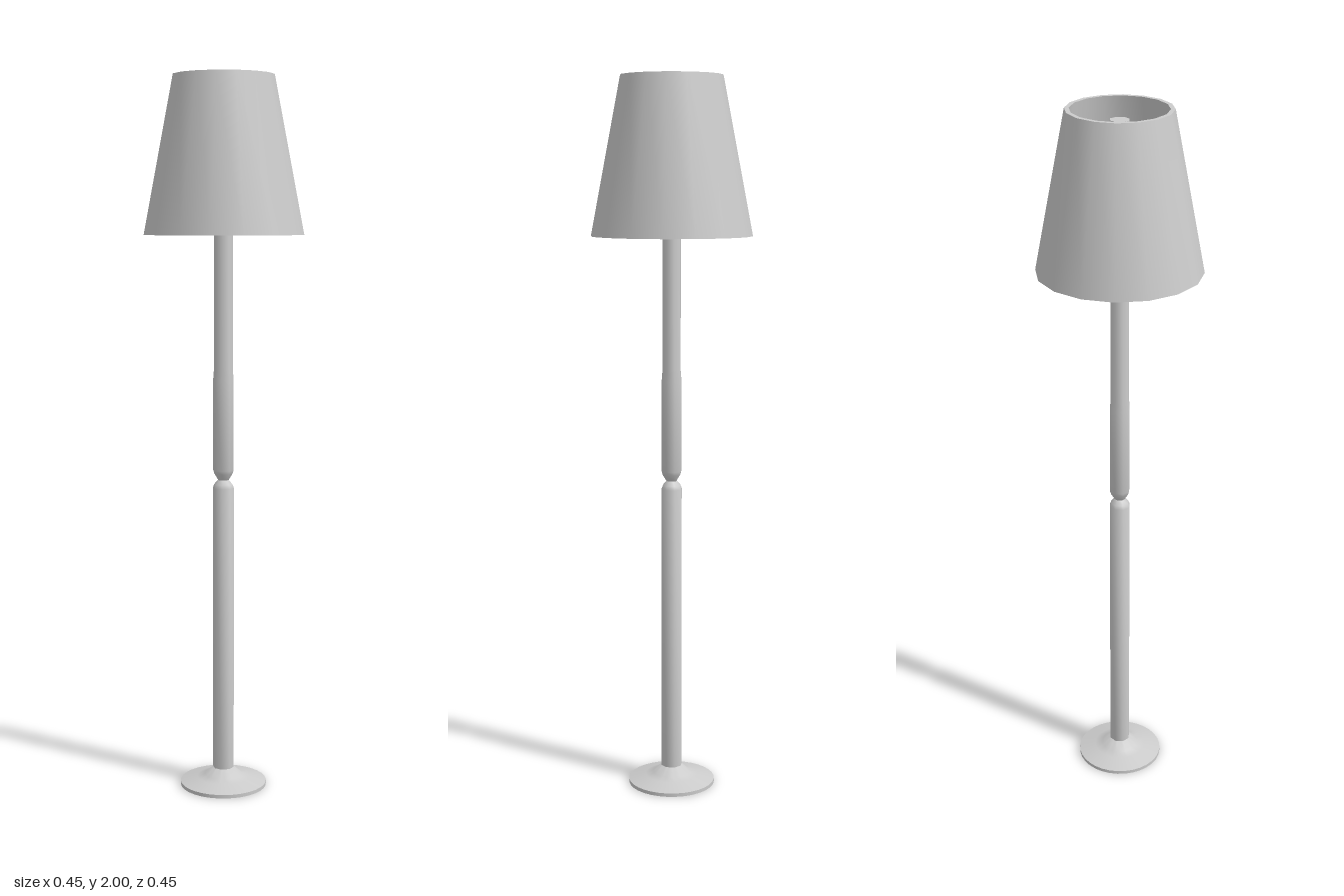
import * as THREE from 'three';
import { toCreasedNormals } from 'three/addons/utils/BufferGeometryUtils.js';

const material = new THREE.MeshStandardMaterial({ color: 0xcccccc });

// Turned part from a [radius, height] profile, smooth except at sharp edges
function turned(name, profile, sides, crease) {
  const points = profile.map(([r, y]) => new THREE.Vector2(r, y));
  const geometry = toCreasedNormals(new THREE.LatheGeometry(points, sides), crease);
  const mesh = new THREE.Mesh(geometry, material);
  mesh.name = name;
  return mesh;
}

export function createModel() {
  const lamp = new THREE.Group();
  lamp.name = 'floorLamp';

  // Low conical foot with a small flare around the pole
  lamp.add(turned('base', [
    [0, 0], [0.123, 0], [0.123, 0.01], [0.075, 0.023], [0.053, 0.029], [0.03, 0.05], [0, 0.05],
  ], 32, 1.0));

  // Octagonal pole: thick lower length, pinched neck, tapering upper length
  const pole = turned('pole', [
    [0, 0.02], [0.03, 0.02], [0.03, 0.865], [0.026, 0.876], [0.015, 0.888],
    [0.026, 0.906], [0.029, 0.916], [0.029, 1.17], [0.0265, 1.2], [0.0265, 1.972], [0, 1.972],
  ], 8, 0.95);
  pole.rotation.y = Math.PI / 8;
  lamp.add(pole);

  // Open tapered shade with wall thickness
  lamp.add(turned('shade', [
    [0.211, 1.57], [0.223, 1.57], [0.14, 2], [0.128, 2], [0.211, 1.57],
  ], 16, 0.8));

  return lamp;
}
